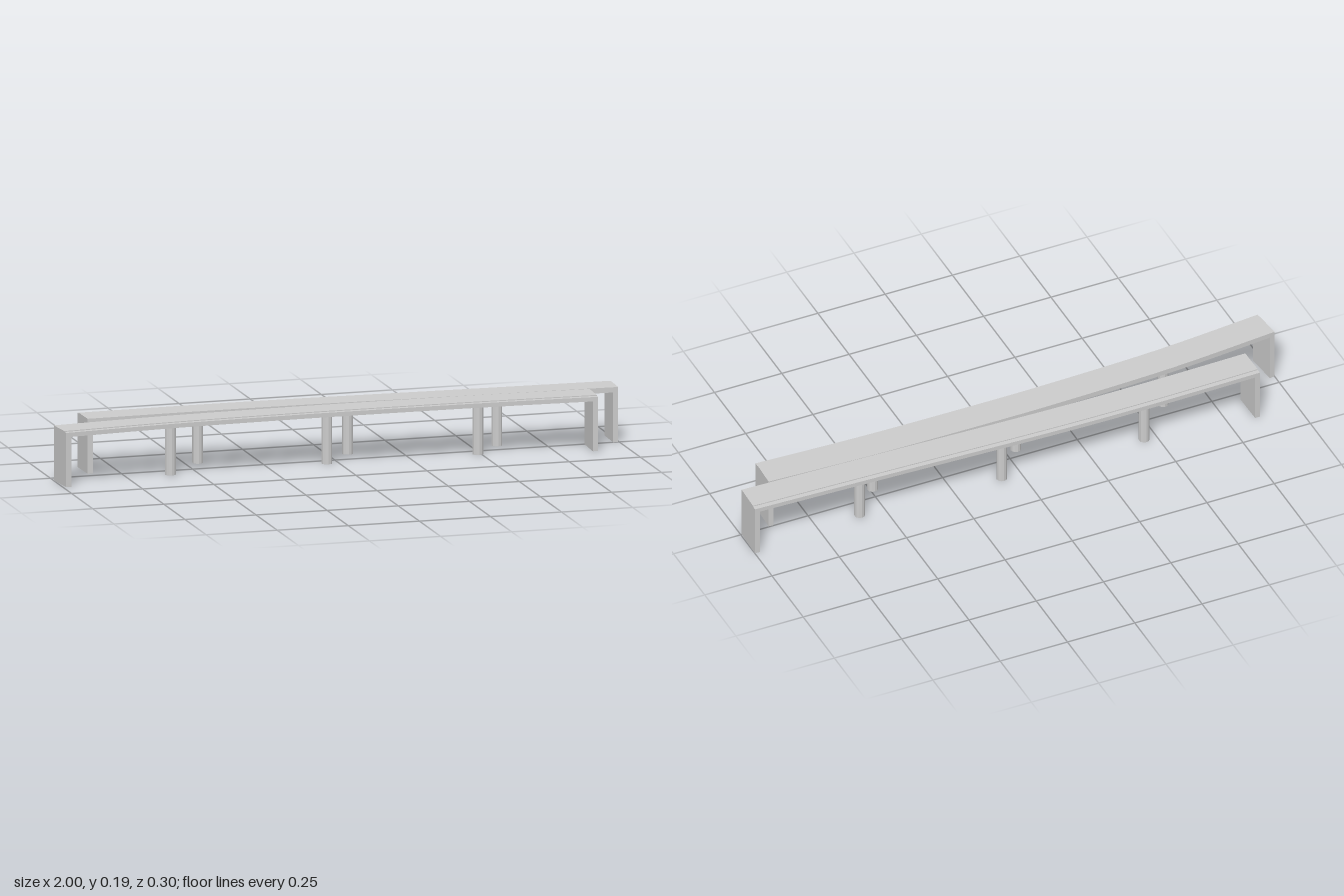
import * as THREE from 'three';

const material = new THREE.MeshStandardMaterial({ color: 0xcccccc, flatShading: true });
const HALF = 0.057;        // half deck width
const SLAB_BOTTOM = 0.172, SLAB_TOP = 0.187, ROAD_TOP = 0.19;

// Plan curve through [x, z] points, kept in an (x, -z) plane
const planCurve = (points) =>
  new THREE.SplineCurve(points.map(([x, z]) => new THREE.Vector2(x, -z)));

// Solid following the curve from u0 to u1, between two side offsets (+ is towards the back)
function strip(name, curve, u0, u1, front, back, y0, y1, steps) {
  const near = [], far = [];
  for (let i = 0; i <= steps; i++) {
    const u = u0 + (u1 - u0) * i / steps;
    const p = curve.getPointAt(u), t = curve.getTangentAt(u);
    const side = (d) => new THREE.Vector2(p.x - t.y * d, p.y + t.x * d);
    near.push(side(front));
    far.unshift(side(back));
  }
  const geometry = new THREE.ExtrudeGeometry(new THREE.Shape([...near, ...far]),
    { depth: y1 - y0, bevelEnabled: false });
  geometry.rotateX(-Math.PI / 2).translate(0, y0, 0);
  const mesh = new THREE.Mesh(geometry, material);
  mesh.name = name;
  return mesh;
}

// One bridge: slab, raised road set in from the outer edge, end walls, round piers
function bridge(name, points, pierXs, outer) {
  const group = new THREE.Group();
  group.name = name;
  const curve = planCurve(points);
  const wall = 0.018 / curve.getLength();
  const inset = 0.017;
  const roadFront = outer < 0 ? -HALF + inset : -HALF;
  const roadBack = outer > 0 ? HALF - inset : HALF;
  group.add(
    strip('deckSlab', curve, 0, 1, -HALF, HALF, SLAB_BOTTOM, SLAB_TOP, 24),
    strip('roadSurface', curve, 0, 1, roadFront, roadBack, SLAB_TOP, ROAD_TOP, 24),
    strip('leftEndWall', curve, 1 - wall, 1, -HALF, HALF, 0, SLAB_BOTTOM, 1),
    strip('rightEndWall', curve, 0, wall, -HALF, HALF, 0, SLAB_BOTTOM, 1));

  const first = points[0][0], last = points[points.length - 1][0];
  for (const x of pierXs) {
    const p = curve.getPointAt((x - first) / (last - first));
    const pier = new THREE.Mesh(
      new THREE.CylinderGeometry(0.0185, 0.0185, SLAB_BOTTOM, 12), material);
    pier.name = 'pier';
    pier.position.set(x, SLAB_BOTTOM / 2, -p.y);
    group.add(pier);
  }
  return group;
}

export function createModel() {
  const model = new THREE.Group();
  model.name = 'twinBridge';
  model.add(
    bridge('frontBridge',
      [[-0.994, 0.093], [-0.6, 0.058], [-0.18, 0.043], [0.1, 0.041], [0.5, 0.045], [0.893, 0.060]],
      [-0.595, -0.04, 0.49], -1),
    bridge('backBridge',
      [[-0.861, -0.087], [-0.45, -0.093], [-0.08, -0.0895], [0.5, -0.0705], [0.998, -0.056]],
      [-0.455, 0.07, 0.59], 1));
  return model;
}
